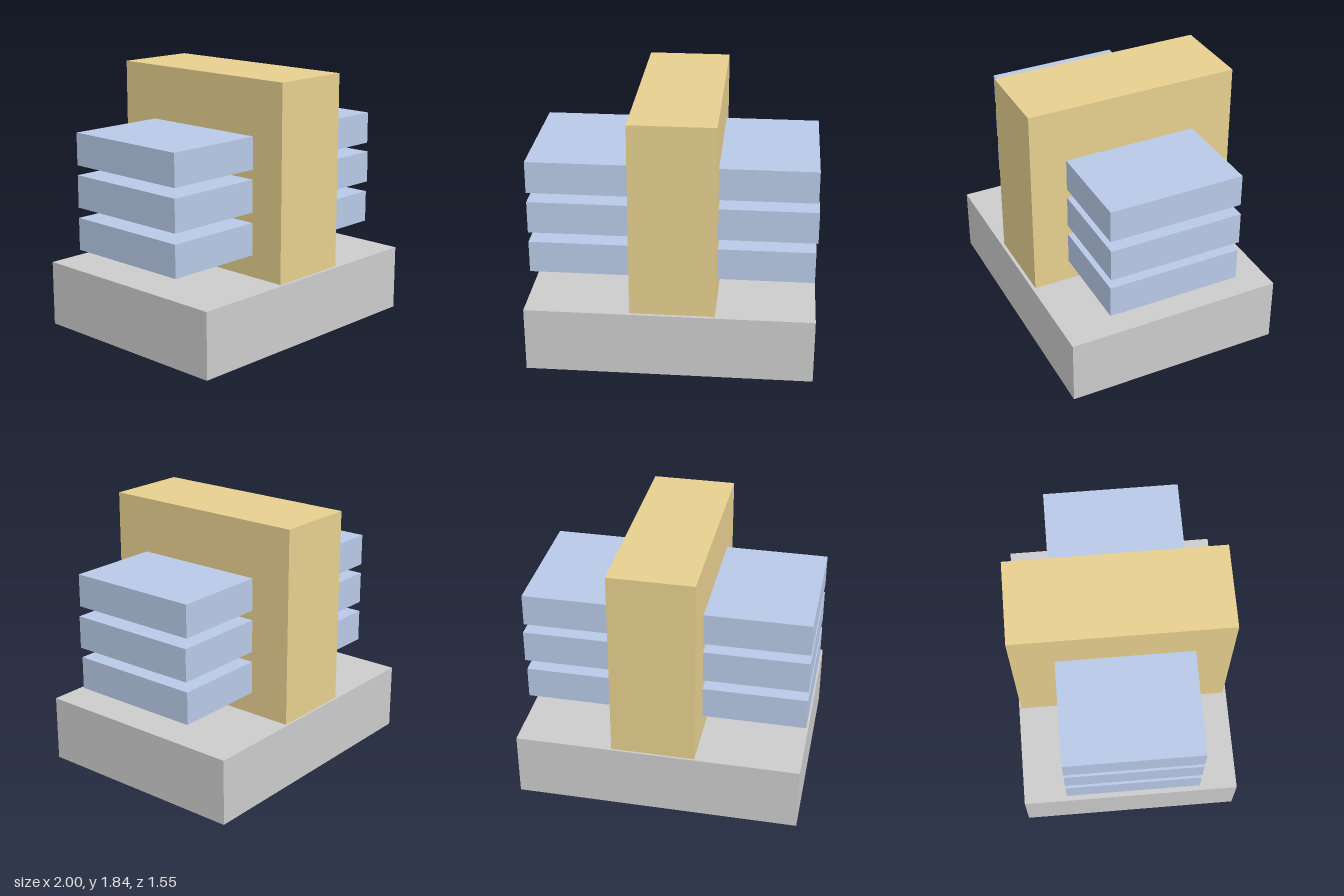
import * as THREE from 'three';

// Box given by its extents along each axis
function block(name, color, [x0, x1], [y0, y1], [z0, z1]) {
  const mesh = new THREE.Mesh(
    new THREE.BoxGeometry(x1 - x0, y1 - y0, z1 - z0),
    new THREE.MeshStandardMaterial({ color })
  );
  mesh.position.set((x0 + x1) / 2, (y0 + y1) / 2, (z0 + z1) / 2);
  mesh.name = name;
  return mesh;
}

export function createModel() {
  const model = new THREE.Group();
  model.name = 'towerBuilding';

  // Plinth and the central upright slab standing on it
  model.add(block('base', 0xcccccc, [-1, 1], [0, 0.465], [-0.775, 0.775]));
  model.add(block('tower', 0xe6cf8e, [-0.27, 0.317], [0.465, 1.84], [-0.76, 0.752]));

  // Three floors passing through the tower: bottom, top and right end of each
  const floors = [[0.62, 0.85, 0.99], [0.923, 1.153, 1], [1.222, 1.45, 0.99]];
  floors.forEach(([bottom, top, right], i) => {
    model.add(block(`floor${i + 1}`, 0xb8c9e7, [-1, right], [bottom, top], [-0.463, 0.494]));
  });

  return model;
}
